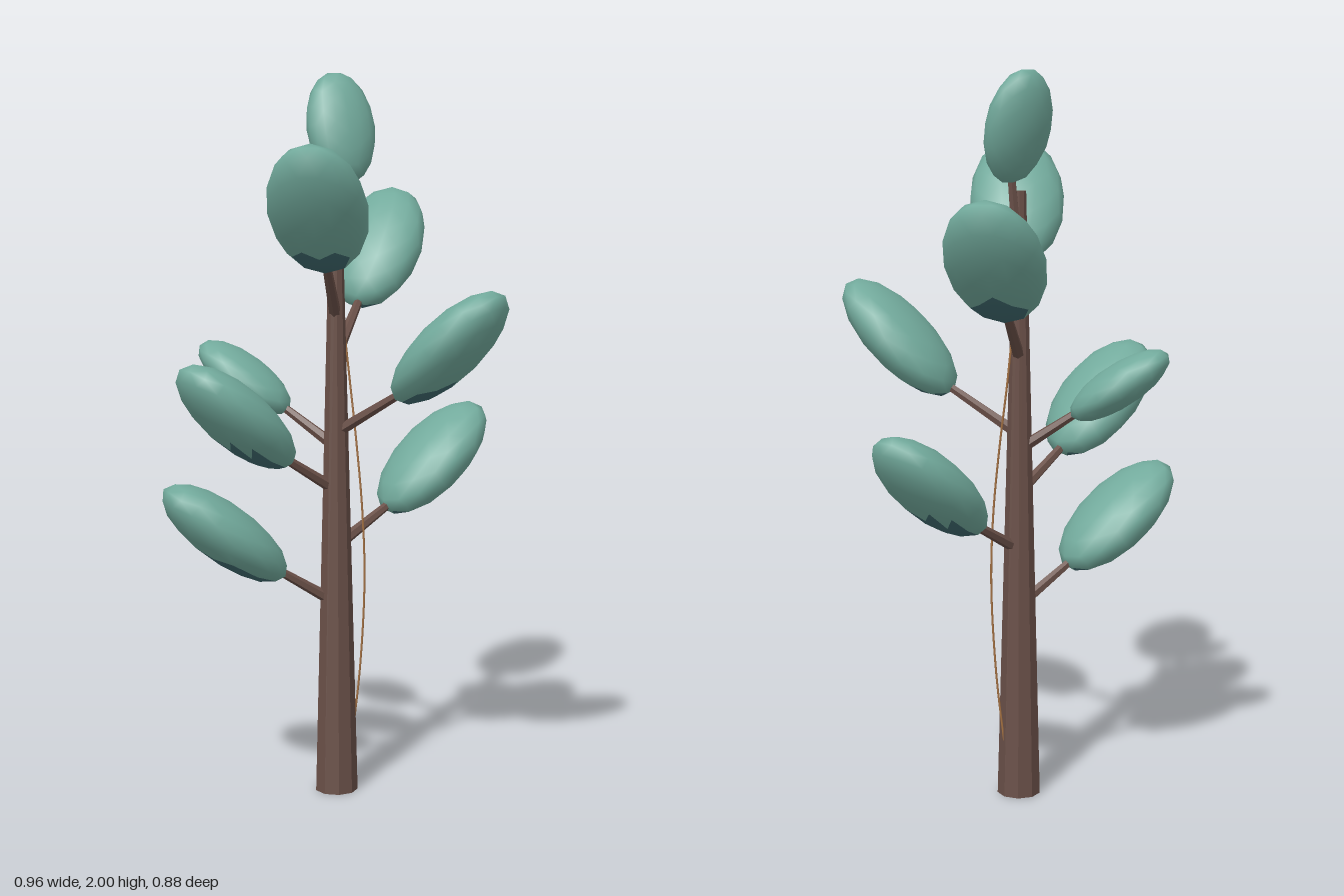
import * as THREE from 'three';

const mat = (name, color, extra = {}) =>
  Object.assign(new THREE.MeshStandardMaterial({ color, ...extra }), { name });

const UP = new THREE.Vector3(0, 1, 0);
const TRUNK = { x: -0.01, z: -0.065, height: 1.68 };

// Tapered round bar between two points
function bar(a, b, r0, r1, sides, material, name) {
  const dir = b.clone().sub(a);
  const geo = new THREE.CylinderGeometry(r1, r0, dir.length(), sides);
  const mesh = new THREE.Mesh(geo, material);
  mesh.position.copy(a).add(b).multiplyScalar(0.5);
  mesh.quaternion.setFromUnitVectors(UP, dir.normalize());
  mesh.name = name;
  return mesh;
}

// Flattened smooth ellipsoid: long along axis, level across, thin in the third direction
function leafGeometry(axis, size, shaded) {
  const geo = new THREE.IcosahedronGeometry(1, 2);
  geo.setAttribute('normal', geo.attributes.position.clone());
  const across = new THREE.Vector3().crossVectors(axis, UP).normalize();
  const thin = new THREE.Vector3().crossVectors(across, axis);
  const m = new THREE.Matrix4().makeBasis(across, axis, thin);
  m.scale(new THREE.Vector3(0.133, 0.212, 0.08).multiplyScalar(size));
  geo.applyMatrix4(m);

  // Downward faces take the darker underside colour
  const n = geo.attributes.normal;
  for (let i = 0; i < n.count; i += 3) {
    const ny = (n.getY(i) + n.getY(i + 1) + n.getY(i + 2)) / 3;
    geo.addGroup(i, 3, shaded && ny < -0.77 ? 1 : 0);
  }
  return geo;
}

export function createModel() {
  const bark = mat('bark', 0x6a5048, { flatShading: true });
  const foliage = mat('foliage', 0x72aa9c);
  const underside = mat('foliage underside', 0x3f696e);
  const twine = mat('twine', 0xa87445);
  const tree = new THREE.Group();
  tree.name = 'tree';

  // Trunk
  tree.add(bar(
    new THREE.Vector3(TRUNK.x, 0, TRUNK.z),
    new THREE.Vector3(TRUNK.x, TRUNK.height, TRUNK.z),
    0.06, 0.017, 9, bark, 'trunk'));

  // Branches: leaf centre, leaf elevation in degrees, height on trunk, size, dark underside
  const branches = [
    { c: [0.033, 1.85, -0.086], el: 73, y: 1.46, size: 0.74, heading: [0.04, -0.09] },
    { c: [-0.237, 1.64, 0.085], el: 50, y: 1.34, size: 1, shaded: true },
    { c: [0.27, 1.515, -0.165], el: 48, y: 1.23, size: 1, shaded: true },
    { c: [0.065, 1.272, 0.277], el: 44, y: 1.02, size: 1, shaded: true },
    { c: [-0.115, 1.163, -0.316], el: 34, y: 0.98, size: 0.74 },
    { c: [-0.322, 1.088, -0.135], el: 41, y: 0.86, size: 1, shaded: true },
    { c: [-0.297, 0.76, -0.21], el: 38, y: 0.54, size: 1, shaded: true },
    { c: [0.31, 0.922, 0.01], el: 41, y: 0.7, size: 1, shaded: true },
  ];
  for (const { c, el, y, size, shaded, heading } of branches) {
    const centre = new THREE.Vector3(...c);
    const [hx, hz] = heading ?? [centre.x - TRUNK.x, centre.z - TRUNK.z];
    const e = THREE.MathUtils.degToRad(el);
    const axis = new THREE.Vector3(hx, 0, hz).normalize().multiplyScalar(Math.cos(e));
    axis.y = Math.sin(e);

    const leaf = new THREE.Mesh(leafGeometry(axis, size, shaded), [foliage, underside]);
    leaf.position.copy(centre);
    leaf.name = 'leafCluster';

    const start = new THREE.Vector3(TRUNK.x, y, TRUNK.z);
    const end = centre.clone().addScaledVector(axis, -0.16 * size);
    tree.add(bar(start, end, 0.017, 0.011, 6, bark, 'branch'), leaf);
  }

  // Thin loose strand hanging beside the trunk
  const path = new THREE.CatmullRomCurve3([
    [0.037, 0.16, -0.045], [0.045, 0.35, -0.025], [0.047, 0.6, -0.01],
    [0.04, 0.8, -0.012], [0.034, 1.0, -0.03], [0.032, 1.15, -0.05], [0.02, 1.28, -0.058],
  ].map(p => new THREE.Vector3(...p)));
  const strand = new THREE.Mesh(new THREE.TubeGeometry(path, 24, 0.003, 5), twine);
  strand.name = 'strand';
  tree.add(strand);

  return tree;
}
